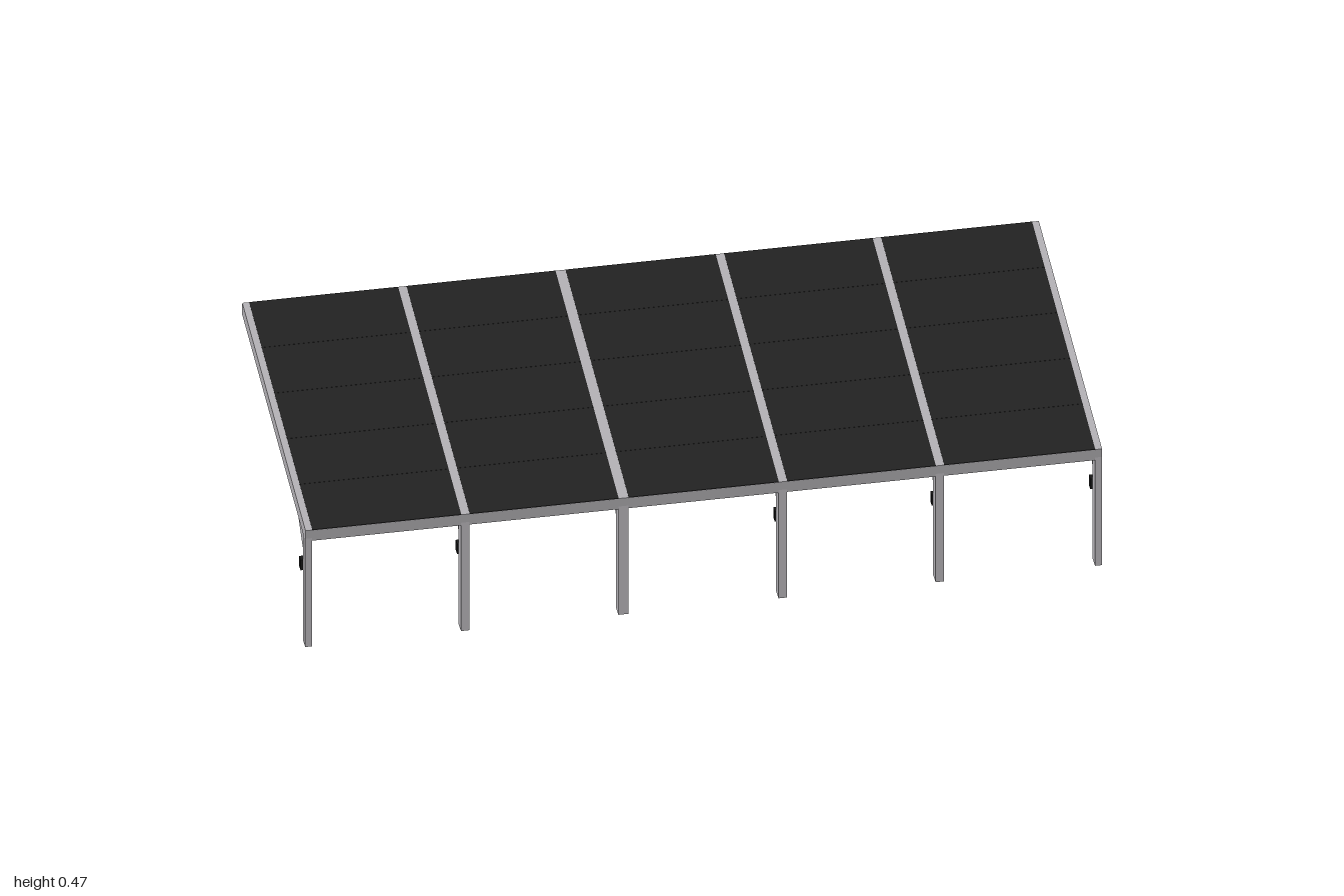
import * as THREE from 'three';

export function createModel() {
  const model = new THREE.Group();
  model.name = 'solarCarport';

  const mat = (name, color) => {
    const m = new THREE.MeshStandardMaterial({ color });
    m.name = name;
    return m;
  };
  const steel = mat('light grey steel', 0xb1afb3);
  const solar = mat('black solar glass', 0x212121);
  const plastic = mat('black plastic', 0x161616);

  const add = (parent, name, geometry, material, x = 0, y = 0, z = 0) => {
    const mesh = new THREE.Mesh(geometry, material);
    mesh.name = name;
    mesh.position.set(x, y, z);
    parent.add(mesh);
    return mesh;
  };
  const box = (parent, name, [w, h, d], material, x, y, z) =>
    add(parent, name, new THREE.BoxGeometry(w, h, d), material, x, y, z);

  // Frame positions across the width: x centre and member width
  const frames = [
    [-0.986, 0.017], [-0.595, 0.021], [-0.2, 0.025],
    [0.198, 0.021], [0.59, 0.021], [0.986, 0.017],
  ];

  // Sloping roof, built flat and then tilted
  const roof = new THREE.Group();
  roof.name = 'roof';
  roof.position.y = 0.3875;
  roof.rotation.x = 0.1411;
  model.add(roof);
  const length = 0.855, depth = 0.035, width = 1.989;

  // Fascia beams along the front and back edges
  for (const [name, side] of [['frontFascia', 1], ['backFascia', -1]]) {
    box(roof, name, [width - 0.034, depth - 0.001, 0.016], steel, 0, -0.0005, side * (length / 2 - 0.008));
  }

  // Rafters, flush with the panels
  for (const [x, w] of frames) box(roof, 'rafter', [w, depth, length], steel, x, 0, 0);

  // Solar panels between the rafters, in rows
  const rows = 5, rowLength = length / rows;
  for (let i = 0; i < frames.length - 1; i++) {
    const x0 = frames[i][0] + frames[i][1] / 2;
    const x1 = frames[i + 1][0] - frames[i + 1][1] / 2;
    for (let r = 0; r < rows; r++) {
      const z = -length / 2 + (r + 0.5) * rowLength;
      box(roof, 'solarPanel', [x1 - x0, 0.004, rowLength - 0.0006], solar, (x0 + x1) / 2, 0.0161, z);
    }
  }

  // Underside cladding boards running the full width
  const boards = 6, boardLength = (length - 0.004) / boards;
  for (let b = 0; b < boards; b++) {
    const z = -length / 2 + 0.002 + (b + 0.5) * boardLength;
    box(roof, 'ceilingBoard', [width - 0.004, 0.006, boardLength - 0.0006], steel, 0, -0.0152, z);
  }

  // Triangular knee brace profile: x runs backwards from the post, y is up
  const brace = new THREE.Shape([
    new THREE.Vector2(0, 0.263), new THREE.Vector2(0.074, 0.327),
    new THREE.Vector2(0.074, 0.334), new THREE.Vector2(0, 0.328),
  ]);

  // Posts with braces and wall chargers
  frames.forEach(([x, w], i) => {
    const support = new THREE.Group();
    support.name = 'support';
    support.position.x = x;
    model.add(support);

    box(support, 'post', [w, 0.332, 0.033], steel, 0, 0.166, 0.4055);

    const braceWidth = w - 0.002;
    const geo = new THREE.ExtrudeGeometry(brace, { depth: braceWidth, bevelEnabled: false });
    geo.translate(0, 0, -braceWidth / 2);
    geo.rotateY(Math.PI / 2);
    add(support, 'kneeBrace', geo, steel, 0, 0, 0.39);

    // One middle post carries no charger
    if (i !== 2) box(support, 'charger', [0.028, 0.03, 0.019], plastic, 0, 0.22, 0.3795);
  });

  return model;
}
